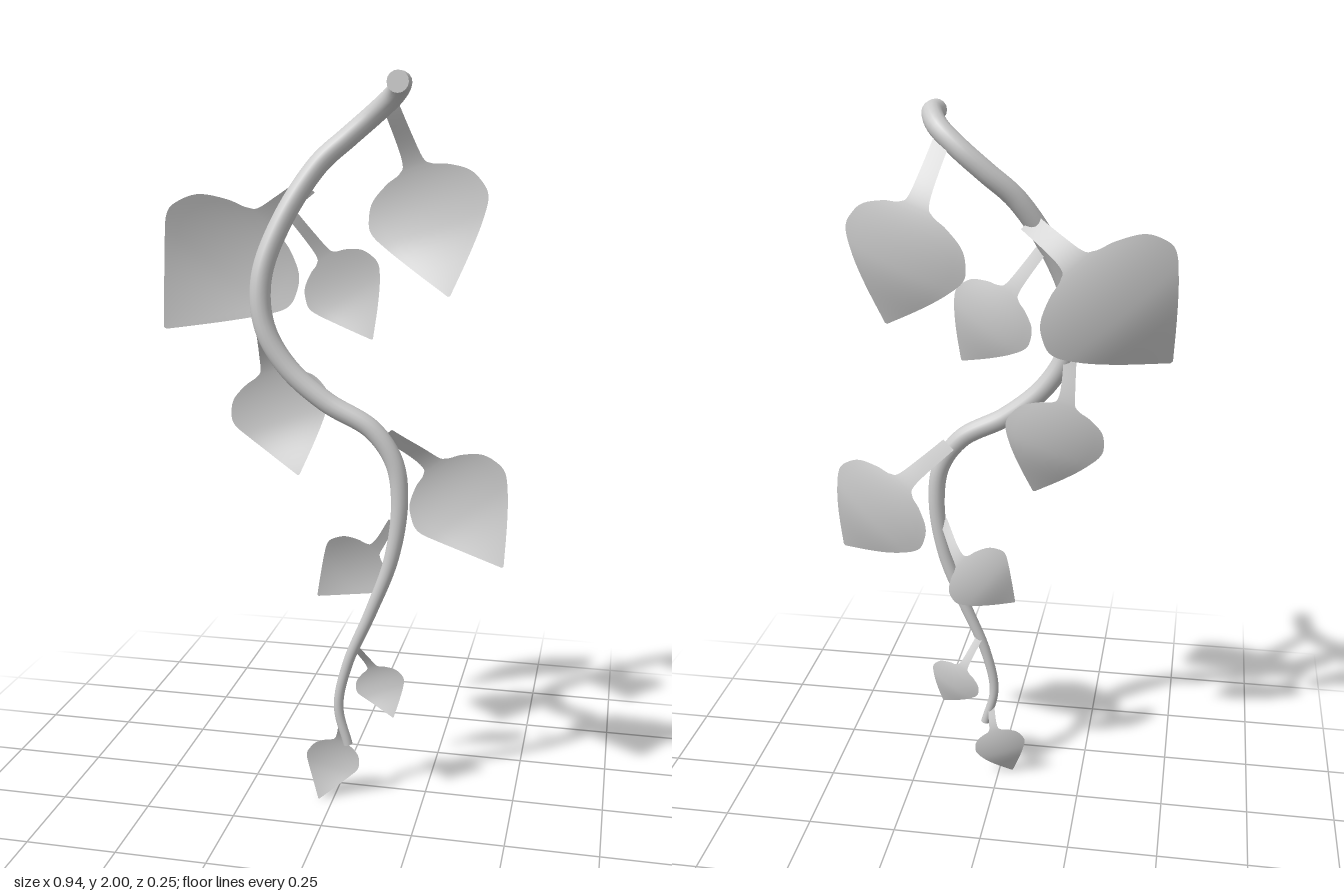
import * as THREE from 'three';

const vec = (p) => new THREE.Vector3(...p);

// Half-width of a leaf along its midrib: x -1..0 is the stalk, 0..1 the blade
const OUTLINE = new THREE.SplineCurve([
  [-1, 0.13], [-0.5, 0.14], [-0.12, 0.17], [0, 0.26], [0.05, 0.52], [0.14, 0.82],
  [0.25, 0.96], [0.37, 1], [0.52, 0.83], [0.75, 0.46], [1, 0.02],
].map(([x, y]) => new THREE.Vector2(x, y)));

// Arched, cupped sheet running from the vine through the blade base to the tip
function leafGeometry(start, base, tip, halfWidth, tilt) {
  const [a, b, c] = [start, base, tip].map(vec);
  const axis = c.clone().sub(b);
  const flat = Math.hypot(axis.x, axis.y);
  const side = new THREE.Vector3(-axis.y / flat, axis.x / flat, tilt);
  const mid = b.clone().lerp(c, 0.5);
  mid.z -= 0.1 * axis.length();
  const rib = new THREE.CatmullRomCurve3([a, b, mid, c]);

  const rows = 44, cols = 10, pos = [], index = [];
  for (let i = 0; i <= rows; i++) {
    const { x, y: w } = OUTLINE.getPoint(i / rows);
    const t = x < 0 ? (x + 1) / 3 : (1 + 2 * x) / 3;
    const centre = rib.getPoint(THREE.MathUtils.clamp(t, 0, 1));
    for (let j = 0; j <= cols; j++) {
      const u = (j / cols) * 2 - 1;
      const p = centre.clone().addScaledVector(side, u * w * halfWidth);
      p.z += 0.14 * halfWidth * (u * w) ** 2;
      pos.push(p.x, p.y, p.z);
      if (i < rows && j < cols) {
        const k = i * (cols + 1) + j, n = k + cols + 1;
        index.push(k, n, k + 1, k + 1, n, n + 1);
      }
    }
  }
  const geo = new THREE.BufferGeometry();
  geo.setAttribute('position', new THREE.Float32BufferAttribute(pos, 3));
  geo.setIndex(index);
  geo.computeVertexNormals();
  return geo;
}

// Vine centre line, from the hooked top to the thin lower end
const VINE = new THREE.CatmullRomCurve3([
  [0.167, 1.971, 0.107], [0.166, 1.968, 0.05], [0.14, 1.94, 0], [0.08, 1.89, -0.027],
  [0.015, 1.835, -0.025], [-0.06, 1.765, 0], [-0.15, 1.615, 0.05], [-0.195, 1.475, 0.083],
  [-0.185, 1.35, 0.093], [-0.125, 1.245, 0.093], [-0.02, 1.155, 0.093], [0.105, 1.085, 0.093],
  [0.165, 1.0, 0.093], [0.181, 0.89, 0.093], [0.16, 0.73, 0.093], [0.105, 0.575, 0.093],
  [0.04, 0.415, 0.093], [0.015, 0.285, 0.093], [0.042, 0.175, 0.093],
].map(vec));

const vineRadius = (u) => 0.028 - 0.015 * THREE.MathUtils.smoothstep(u, 0.45, 1);

function vineGeometry() {
  const segs = 140, sides = 16;
  const geo = new THREE.TubeGeometry(VINE, segs, 1, sides);
  const pos = geo.attributes.position, p = new THREE.Vector3();
  // Taper each ring towards its centre
  for (let i = 0; i <= segs; i++) {
    const centre = VINE.getPointAt(i / segs);
    for (let j = 0; j <= sides; j++) {
      const k = i * (sides + 1) + j;
      p.fromBufferAttribute(pos, k).sub(centre).multiplyScalar(vineRadius(i / segs)).add(centre);
      pos.setXYZ(k, p.x, p.y, p.z);
    }
  }
  return geo;
}

// start on vine, blade base, tip, half-width, sideways tilt in z
const LEAVES = [
  [[0.125, 1.92, -0.02], [0.18, 1.755, -0.1], [0.29, 1.43, 0.0], 0.172, 0.28],
  [[-0.09, 1.71, 0.0], [-0.22, 1.615, -0.05], [-0.465, 1.335, 0.08], 0.2, -0.26],
  [[-0.12, 1.635, 0.035], [-0.04, 1.525, 0.0], [0.098, 1.32, 0.06], 0.119, 0.25],
  [[-0.195, 1.34, 0.08], [-0.19, 1.215, 0.025], [-0.1, 0.945, 0.075], 0.137, -0.08],
  [[0.14, 1.07, 0.07], [0.26, 0.97, 0.0], [0.46, 0.73, 0.098], 0.157, 0.24],
  [[0.16, 0.83, 0.085], [0.1, 0.73, 0.03], [-0.05, 0.6, 0.065], 0.1, -0.2],
  [[0.055, 0.47, 0.085], [0.1, 0.385, 0.035], [0.165, 0.255, 0.065], 0.077, 0.22],
  [[0.025, 0.24, 0.09], [0.01, 0.165, 0.06], [-0.04, 0.003, 0.105], 0.075, -0.15],
];

export function createModel() {
  const model = new THREE.Group();
  model.name = 'hangingVine';
  const solid = new THREE.MeshStandardMaterial({ color: 0xcccccc });
  const sheet = new THREE.MeshStandardMaterial({ color: 0xcccccc, side: THREE.DoubleSide });

  const vine = new THREE.Mesh(vineGeometry(), solid);
  vine.name = 'vine';
  model.add(vine);

  // Flat cut ends
  for (const [u, dir] of [[0, -1], [1, 1]]) {
    const cap = new THREE.Mesh(new THREE.CircleGeometry(vineRadius(u), 16), solid);
    cap.name = u === 0 ? 'vineTopEnd' : 'vineBottomEnd';
    cap.position.copy(VINE.getPointAt(u));
    cap.quaternion.setFromUnitVectors(
      new THREE.Vector3(0, 0, 1), VINE.getTangentAt(u).multiplyScalar(dir));
    model.add(cap);
  }

  LEAVES.forEach((spec, i) => {
    const leaf = new THREE.Mesh(leafGeometry(...spec), sheet);
    leaf.name = `leaf${i + 1}`;
    model.add(leaf);
  });
  return model;
}
